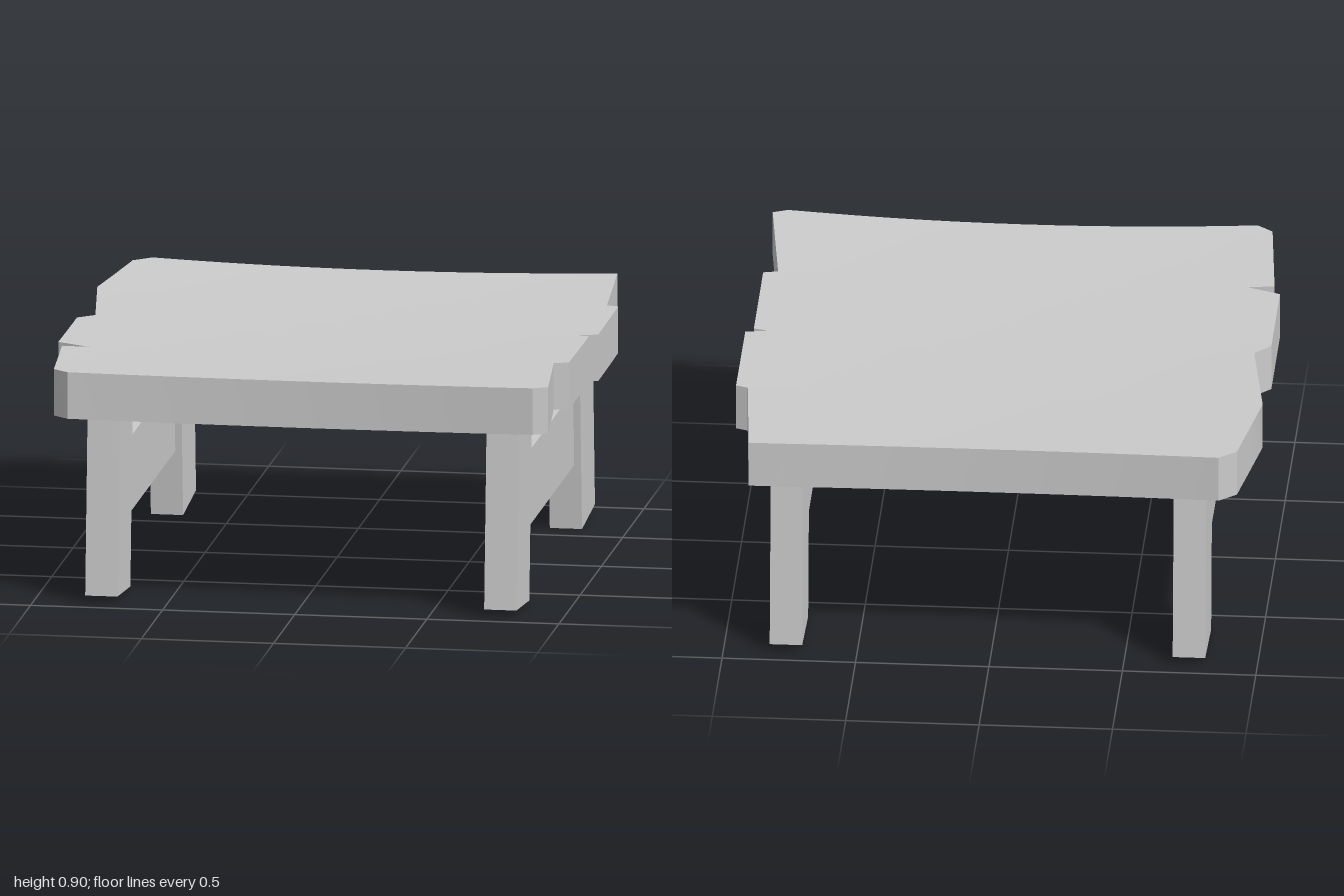
import * as THREE from 'three';
import { toCreasedNormals } from 'three/addons/utils/BufferGeometryUtils.js';

const material = new THREE.MeshStandardMaterial({ color: 0xcccccc });

// Chipped side edges of the top as [z, x], back to front
const leftEdge = [[-1, -0.86], [-0.94, -0.925], [-0.51, -0.99], [-0.06, -0.925], [0, -0.985],
  [0.44, -0.985], [0.495, -0.86], [0.505, -0.96], [0.95, -0.92], [1, -0.86]];
const rightEdge = [[-1, 0.9], [-0.505, 0.94], [-0.49, 0.985], [-0.02, 0.985], [0, 0.9],
  [0.012, 0.955], [0.485, 0.955], [0.5, 0.9], [0.975, 0.955], [1, 0.9]];

function edgeX(edge, z) {
  for (let i = 1; i < edge.length; i++) {
    const [z0, x0] = edge[i - 1], [z1, x1] = edge[i];
    if (z <= z1) return x0 + (x1 - x0) * (z - z0) / (z1 - z0);
  }
  return edge[edge.length - 1][1];
}

// Dished slab: closed cross-sections lofted along z
function topGeometry() {
  const cols = 14, ring = 2 * (cols + 1), thickness = 0.178;
  const zs = [...leftEdge, ...rightEdge].map(p => p[0]);
  for (let i = -9; i < 10; i += 2) zs.push(i / 10);
  const rows = [...new Set(zs)].sort((a, b) => a - b);
  const pos = [], idx = [];
  for (const z of rows) {
    const x0 = edgeX(leftEdge, z), x1 = edgeX(rightEdge, z);
    for (let k = 0; k < ring; k++) {
      const under = k > cols;
      const t = (under ? ring - 1 - k : k) / cols;
      const x = x0 + (x1 - x0) * t;
      // end edges bow inward, surface sags toward the middle
      const zb = z * (1 - 0.034 * Math.max(0, 1 - (x / 0.88) ** 2));
      const y = 0.868 + 0.015 * x * x + 0.018 * z * z - (under ? thickness : 0);
      pos.push(x, y, zb);
    }
  }
  for (let i = 0; i < rows.length - 1; i++) {
    for (let k = 0; k < ring; k++) {
      const a = i * ring + k, c = i * ring + (k + 1) % ring;
      idx.push(a, a + ring, c, c, a + ring, c + ring);
    }
  }
  // end caps
  const last = (rows.length - 1) * ring;
  for (let j = 0; j < cols; j++) {
    const t0 = j, t1 = j + 1, b0 = ring - 1 - j, b1 = ring - 2 - j;
    idx.push(last + t0, last + b0, last + b1, last + t0, last + b1, last + t1);
    idx.push(t0, b1, b0, t0, t1, b1);
  }
  const g = new THREE.BufferGeometry();
  g.setAttribute('position', new THREE.Float32BufferAttribute(pos, 3));
  g.setIndex(idx);
  return toCreasedNormals(g, 0.3);
}

// Splayed leg: side outline in (z, y) extruded across x
function legGeometry(width) {
  const shape = new THREE.Shape([[0.62, 0], [0.925, 0.028], [0.865, 0.77], [0.555, 0.77]]
    .map(([z, y]) => new THREE.Vector2(z, y)));
  return new THREE.ExtrudeGeometry(shape, { depth: width, bevelEnabled: false })
    .translate(0, 0, -width / 2)
    .rotateY(-Math.PI / 2);
}

export function createModel() {
  const model = new THREE.Group();
  model.name = 'woodenTable';
  const add = (name, geometry, x = 0, y = 0) => {
    const mesh = new THREE.Mesh(geometry, material);
    mesh.name = name;
    mesh.position.set(x, y, 0);
    model.add(mesh);
    return mesh;
  };

  add('tableTop', topGeometry());

  // Two legs and a stretcher on each side
  const leg = legGeometry(0.122);
  const stretcher = new THREE.BoxGeometry(0.07, 0.287, 1.24);
  for (const [side, x] of [['left', 0.766], ['right', -0.744]]) {
    add(side + 'FrontLeg', leg, x);
    add(side + 'BackLeg', leg, x).rotation.y = Math.PI;
    add(side + 'Stretcher', stretcher, x, 0.392);
  }
  return model;
}
